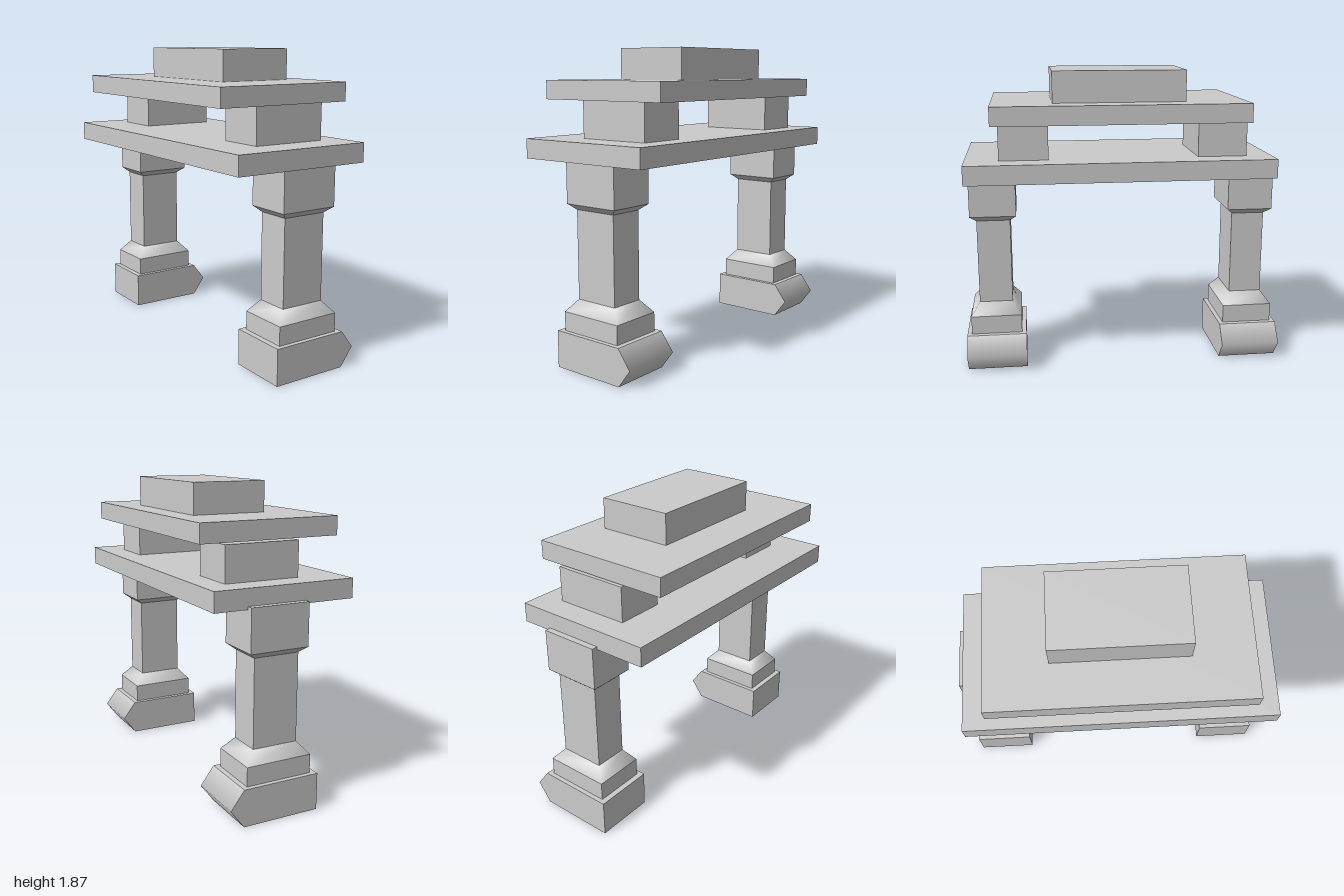
import * as THREE from 'three';

const material = new THREE.MeshStandardMaterial({ color: 0xcccccc });

function add(parent, name, geometry) {
  const mesh = new THREE.Mesh(geometry, material);
  mesh.name = name;
  parent.add(mesh);
  return mesh;
}

// Box given by its limits on each axis
function block(parent, name, [x0, x1], [y0, y1], [z0, z1]) {
  const geometry = new THREE.BoxGeometry(x1 - x0, y1 - y0, z1 - z0);
  geometry.translate((x0 + x1) / 2, (y0 + y1) / 2, (z0 + z1) / 2);
  return add(parent, name, geometry);
}

// Sloping band between two rectangles [x0, x1, z0, z1], optionally soft at its corners
function taper(parent, name, lower, upper, y0, y1, soft) {
  const positions = [];
  for (const [[x0, x1, z0, z1], y] of [[lower, y0], [upper, y1]]) {
    positions.push(x0, y, z1, x1, y, z1, x1, y, z0, x0, y, z0);
  }
  const index = [];
  for (let i = 0; i < 4; i++) {
    const j = (i + 1) % 4;
    index.push(i, j, j + 4, i, j + 4, i + 4);
  }
  let geometry = new THREE.BufferGeometry();
  geometry.setAttribute('position', new THREE.Float32BufferAttribute(positions, 3));
  geometry.setIndex(index);
  if (!soft) geometry = geometry.toNonIndexed();
  geometry.computeVertexNormals();
  return add(parent, name, geometry);
}

// Foot with a pointed end towards +x, its ridge shaded softly
function footGeometry(z0, z1) {
  const tip = 0.38;
  const outline = new THREE.Shape([
    [-0.19, 0], [0.295, 0], [tip, 0.113], [0.295, 0.225], [-0.19, 0.225],
  ].map(([x, y]) => new THREE.Vector2(x, y)));
  const geometry = new THREE.ExtrudeGeometry(outline, { depth: z1 - z0, bevelEnabled: false });
  geometry.translate(0, 0, z0);
  const { position, normal } = geometry.attributes;
  for (let i = 0; i < position.count; i++) {
    if (Math.abs(normal.getZ(i)) < 0.5 && position.getX(i) > tip - 0.001) normal.setXYZ(i, 1, 0, 0);
  }
  return geometry;
}

// Pillar centred on z = c, with a capital reaching up to capTop
function pillar(name, c, capTop) {
  const group = new THREE.Group();
  group.name = name;
  const plinth = [-0.155, 0.263, c - 0.158, c + 0.158];
  const shaft = [-0.09, 0.195, c - 0.104, c + 0.104];
  const capital = [-0.13, 0.24, c - 0.143, c + 0.143];
  add(group, 'foot', footGeometry(c - 0.186, c + 0.186));
  block(group, 'plinth', plinth.slice(0, 2), [0.225, 0.34], plinth.slice(2));
  taper(group, 'plinthSlope', plinth, shaft, 0.34, 0.415, true);
  block(group, 'shaft', shaft.slice(0, 2), [0.415, 0.947], shaft.slice(2));
  taper(group, 'capitalSlope', shaft, capital, 0.947, 0.982, false);
  block(group, 'capital', capital.slice(0, 2), [0.982, capTop], capital.slice(2));
  return group;
}

export function createModel() {
  const model = new THREE.Group();
  model.name = 'gate';

  model.add(pillar('frontPillar', 0.814, 1.222));
  model.add(pillar('backPillar', -0.813, 1.24));

  // Two wide slabs held apart by spacer blocks, with a cap on top
  const slabX = [-0.45, 0.445];
  const blockX = [-0.18, 0.296];
  block(model, 'lowerSlab', slabX, [1.222, 1.34], [-0.918, 0.971]);
  block(model, 'frontSpacer', blockX, [1.34, 1.565], [0.465, 0.765]);
  block(model, 'backSpacer', blockX, [1.34, 1.556], [-0.76, -0.455]);
  block(model, 'upperSlab', slabX, [1.565, 1.68], [-0.75, 0.805]);
  block(model, 'topCap', blockX, [1.68, 1.87], [-0.373, 0.437]);

  return model;
}
